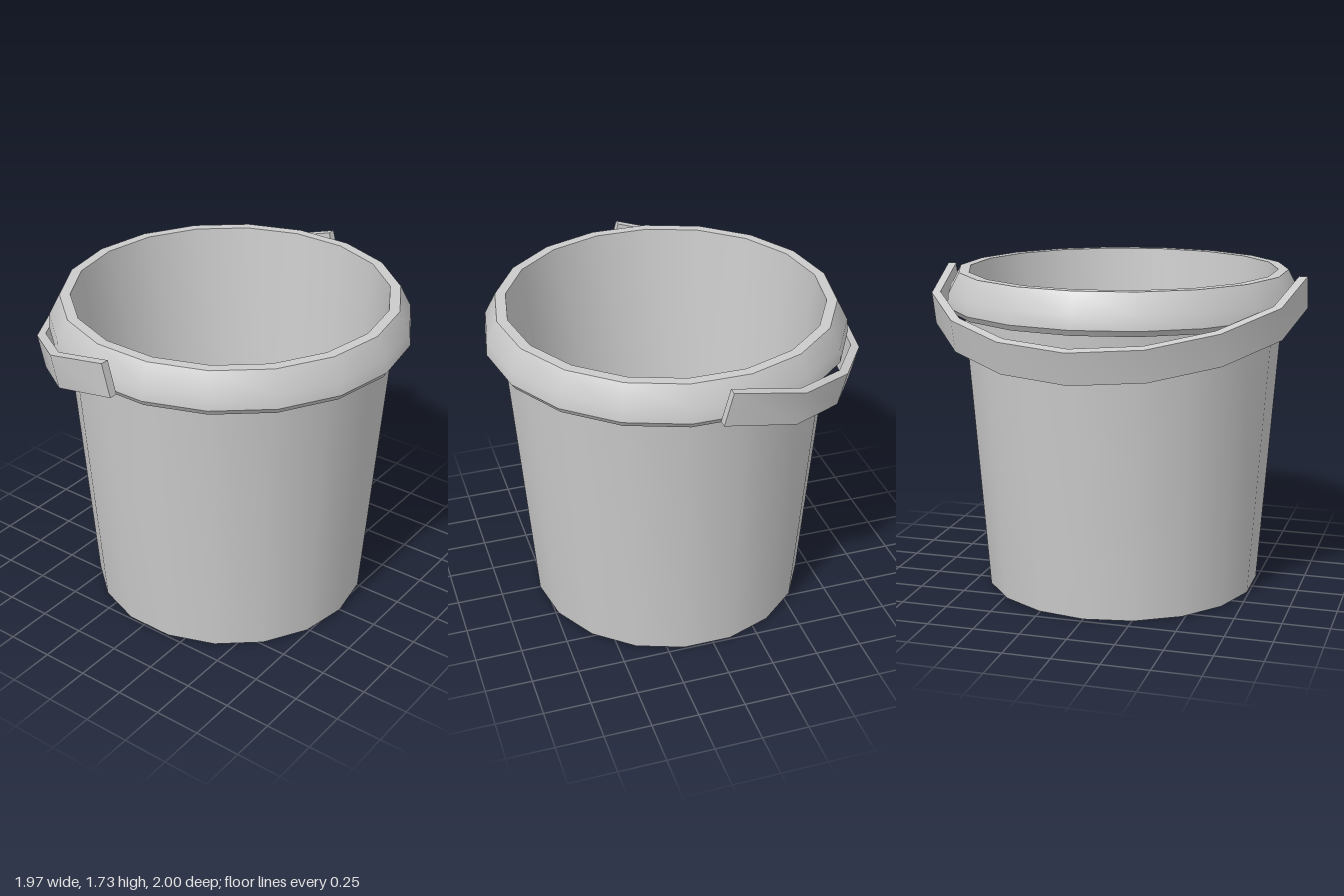
import * as THREE from 'three';
import { toCreasedNormals } from 'three/addons/utils/BufferGeometryUtils.js';

const CENTRE_X = 0.03;
const SIDES = 18;
const material = new THREE.MeshStandardMaterial({ color: 0xcccccc });

function part(name, geometry) {
  const mesh = new THREE.Mesh(toCreasedNormals(geometry, Math.PI / 6), material);
  mesh.name = name;
  return mesh;
}

// Turned part from [radius, height] pairs, with a corner pointing to +x
function turned(name, profile) {
  const points = profile.map(([r, y]) => new THREE.Vector2(r, y));
  const mesh = part(name, new THREE.LatheGeometry(points, SIDES, Math.PI / 2));
  mesh.position.x = CENTRE_X;
  return mesh;
}

// Flat band bent around half the bucket, hanging down towards -x
function createHandle() {
  const half = [[0, 1], [-0.41, 0.934], [-0.74, 0.696], [-0.957, 0.373]];
  const outer = [
    ...half,
    [-1.035, 0],
    ...half.map(([x, z]) => [x, -z]).reverse(),
  ];
  const inner = outer.map(([x, z]) => [x * 0.955, z * 0.955]).reverse();
  const shape = new THREE.Shape([...outer, ...inner].map(([x, z]) => new THREE.Vector2(x, z)));
  const width = 0.176;
  const geometry = new THREE.ExtrudeGeometry(shape, { depth: width, bevelEnabled: false });
  geometry.translate(0, 0, -width / 2);
  geometry.rotateX(-Math.PI / 2);
  const handle = part('handle', geometry);
  handle.position.set(CENTRE_X + 0.005, 1.635, 0);
  handle.rotation.z = THREE.MathUtils.degToRad(15);
  return handle;
}

export function createModel() {
  const bucket = new THREE.Group();
  bucket.name = 'bucket';
  bucket.add(
    // Underside and tapered outer wall
    turned('outerWall', [[0, 0], [0.75, 0], [0.86, 1.52]]),
    // Rounded collar with a flat top lip
    turned('rim', [[0.86, 1.52], [0.93, 1.52], [0.95, 1.55], [0.943, 1.62], [0.885, 1.73], [0.83, 1.73]]),
    // Inner wall and floor
    turned('innerWall', [[0.83, 1.73], [0.675, 0.03], [0, 0.03]]),
    createHandle(),
  );
  return bucket;
}
